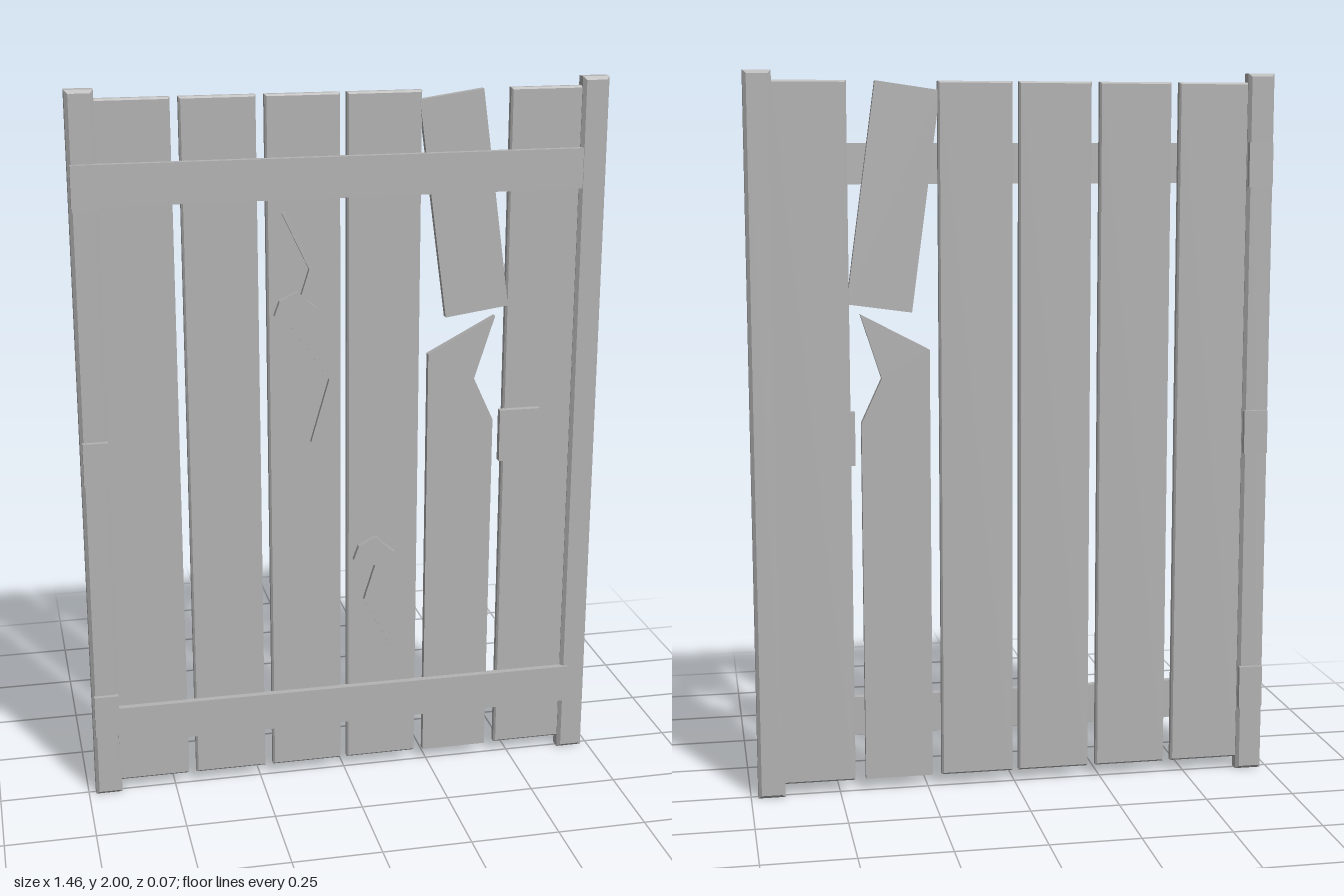
import * as THREE from 'three';

const wood = new THREE.MeshStandardMaterial({ color: 0xb4b4b4 });
wood.name = 'plain grey';

export function createModel() {
  const gate = new THREE.Group();
  gate.name = 'brokenGate';

  // Extrude an outline from z0 to z1, with an optional chamfer kept inside the outline
  function slab(name, points, z0, z1, bevel = 0) {
    const shape = new THREE.Shape(points.map(([x, y]) => new THREE.Vector2(x, y)));
    const geometry = new THREE.ExtrudeGeometry(shape, {
      depth: z1 - z0 - 2 * bevel,
      bevelEnabled: bevel > 0,
      bevelThickness: bevel,
      bevelSize: bevel,
      bevelOffset: -bevel,
      bevelSegments: 1,
    });
    geometry.translate(0, 0, z0 + bevel);
    const mesh = new THREE.Mesh(geometry, wood);
    mesh.name = name;
    gate.add(mesh);
  }

  function box(name, x0, x1, y0, y1, z0, z1, bevel = 0) {
    slab(name, [[x0, y0], [x1, y0], [x1, y1], [x0, y1]], z0, z1, bevel);
  }

  // Thin zigzag strip that keeps one width along its path
  function crack(name, path, width = 0.012) {
    const left = [], right = [];
    path.forEach(([x, y], i) => {
      const a = path[Math.max(i - 1, 0)], b = path[Math.min(i + 1, path.length - 1)];
      const dx = b[0] - a[0], dy = b[1] - a[1];
      const s = width / 2 / Math.hypot(dx, dy);
      left.push([x - dy * s, y + dx * s]);
      right.unshift([x + dy * s, y - dx * s]);
    });
    slab(name, [...left, ...right], 0.01, 0.026);
  }

  // Side posts
  box('rightPost', -0.73, -0.655, 0, 2, -0.025, 0.023, 0.009);
  box('leftPost', 0.655, 0.73, 0, 2, -0.025, 0.023, 0.009);

  // Whole planks
  [[-0.66, -0.46], [-0.438, -0.236], [-0.213, -0.011], [0.007, 0.211], [0.457, 0.66]]
    .forEach(([x0, x1]) => box('plank', x0, x1, 0.035, 1.975, -0.014, 0.012, 0.005));

  // Snapped plank: tilted upper piece and splintered lower piece
  slab('brokenPlankTop',
    [[0.204, 1.95], [0.285, 1.353], [0.463, 1.378], [0.38, 1.975]], -0.008, 0.0125);
  slab('brokenPlankBottom',
    [[0.237, 0.035], [0.427, 0.035], [0.427, 1.05], [0.37, 1.173], [0.427, 1.35], [0.237, 1.25]],
    -0.008, 0.0125);

  // Cross rails
  box('topRail', -0.66, 0.66, 1.7, 1.81, 0.01, 0.031);
  box('bottomRail', -0.66, 0.675, 0.16, 0.27, 0.01, 0.031);

  // Hinges wrapped round the post, and the latch plate
  for (const y of [1.75, 1, 0.25]) {
    box('hinge', -0.725, -0.657, y - 0.061, y + 0.061, -0.036, 0.036);
  }
  box('latch', 0.443, 0.56, 0.93, 1.08, 0.01, 0.031);

  // Cracks and knots
  crack('upperCrack', [[-0.167, 1.665], [-0.094, 1.51], [-0.122, 1.42]]);
  crack('upperCrack', [[-0.15, 1.36], [-0.04, 1.2], [-0.092, 1.02]]);
  crack('lowerCrack', [[0.016, 0.875], [0.115, 0.71]]);
  crack('lowerCrack', [[0.095, 0.65], [0.06, 0.54], [0.142, 0.38]]);
  const knot = [[-0.06, -0.015], [0.03, -0.044], [0.06, 0], [0.03, 0.025], [0.005, 0.05], [-0.045, 0.025]];
  for (const [x, y] of [[-0.137, 1.4], [0.083, 0.678]]) {
    slab('knot', knot.map(([u, v]) => [x + u, y + v]), 0.01, 0.029);
  }
  return gate;
}
